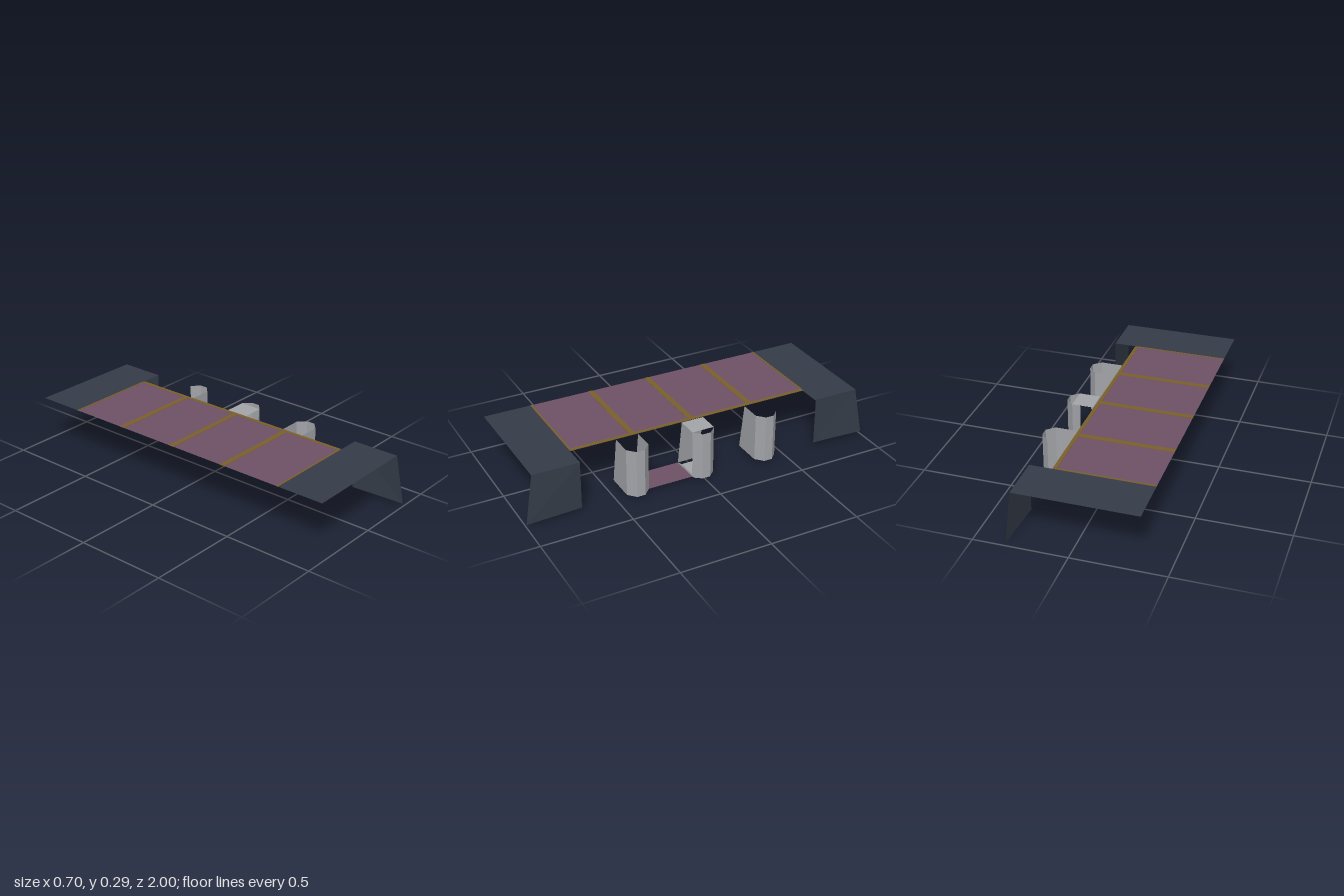
import * as THREE from 'three';

const TOP = 0.285, BASE = 0.017;

const mat = (name, color) => {
  const m = new THREE.MeshStandardMaterial({ color, side: THREE.DoubleSide });
  m.name = name;
  return m;
};

// thin sheet made of flat four-cornered faces
function sheet(name, material, quads) {
  const pos = [];
  for (const [a, b, c, d] of quads) pos.push(...a, ...b, ...c, ...a, ...c, ...d);
  const g = new THREE.BufferGeometry();
  g.setAttribute('position', new THREE.Float32BufferAttribute(pos, 3));
  g.computeVertexNormals();
  const m = new THREE.Mesh(g, material);
  m.name = name;
  return m;
}

// horizontal rectangle facing up
const flat = (x0, x1, z0, z1, y) => [[x0, y, z1], [x1, y, z1], [x1, y, z0], [x0, y, z0]];

export function createModel() {
  const group = new THREE.Group();
  const navy = mat('darkNavy', 0x343c48);
  const plum = mat('plum', 0x6e5165);
  const brown = mat('brown', 0x7a5f2a);
  const gray = mat('lightGray', 0xa2a4a8);

  // roof deck
  group.add(sheet('roofDeck', plum, [flat(-0.35, 0.185, -0.695, 0.695, TOP)]));

  // trim along the deck edge and across it
  const trim = (name, w, d, x, z) => {
    const m = new THREE.Mesh(new THREE.BoxGeometry(w, 0.003, d), brown);
    m.name = name;
    m.position.set(x, TOP, z);
    group.add(m);
  };
  trim('edgeTrim', 0.02, 1.38, 0.175, 0);
  for (const z of [-0.355, 0, 0.343]) trim('crossTrim', 0.515, 0.03, -0.0925, z);
  for (const z of [-0.69, 0.69]) trim('endTrim', 0.515, 0.01, -0.0925, z);

  // end roofs with flared side flaps
  for (const s of [-1, 1]) {
    const inner = [0.308, TOP, s * 0.695], outer = [0.308, TOP, s * 0.953];
    const roof = [[-0.35, TOP, s * 0.695], [-0.35, TOP, s * 0.957], outer, inner];
    const flap = [inner, outer, [0.323, BASE, s * 1.0], [0.308, BASE, s * 0.695]];
    if (s < 0) { roof.reverse(); flap.reverse(); }
    group.add(sheet('endRoof', navy, [roof]), sheet('endFlap', navy, [flap]));
  }

  // three chamfered pillars
  for (const zc of [0.38, 0, -0.38]) {
    const plan = [[0.308, 0.063], [0.35, 0.025], [0.35, -0.022], [0.308, -0.063]];
    const faces = [];
    for (let i = 0; i < 3; i++) {
      const [xa, za] = plan[i], [xb, zb] = plan[i + 1];
      faces.push([[xa, BASE, zc + za], [xb, BASE, zc + zb], [xb, TOP, zc + zb], [xa, TOP, zc + za]]);
    }
    group.add(sheet('pillar', gray, faces));
  }

  // slanted side walls of the outer pillars
  for (const z of [0.443, 0.317, -0.317]) {
    group.add(sheet('sideWall', gray, [
      [[0.147, BASE, z], [0.308, BASE, z], [0.308, TOP, z], [0.19, TOP, z]]]));
  }

  // centre frame: top, slanted inner wall and shallow trough floor
  const w = 0.063, f = 0.04;
  group.add(sheet('frameTop', gray, [flat(0.19, 0.308, -w, w, TOP)]));
  group.add(sheet('frameInnerWall', gray, [
    [[0.147, BASE, -w], [0.147, BASE, w], [0.19, TOP, w], [0.19, TOP, -w]]]));
  group.add(sheet('frameFloor', gray, [
    flat(0.147, 0.308, -f, f, 0),
    [[0.147, 0, f], [0.308, 0, f], [0.308, BASE, w], [0.147, BASE, w]],
    [[0.308, 0, -f], [0.147, 0, -f], [0.147, BASE, -w], [0.308, BASE, -w]]]));

  // floor panel between the centre frame and the front pillar
  group.add(sheet('floorPanel', plum, [flat(0.147, 0.308, w, 0.317, BASE)]));

  return group;
}
